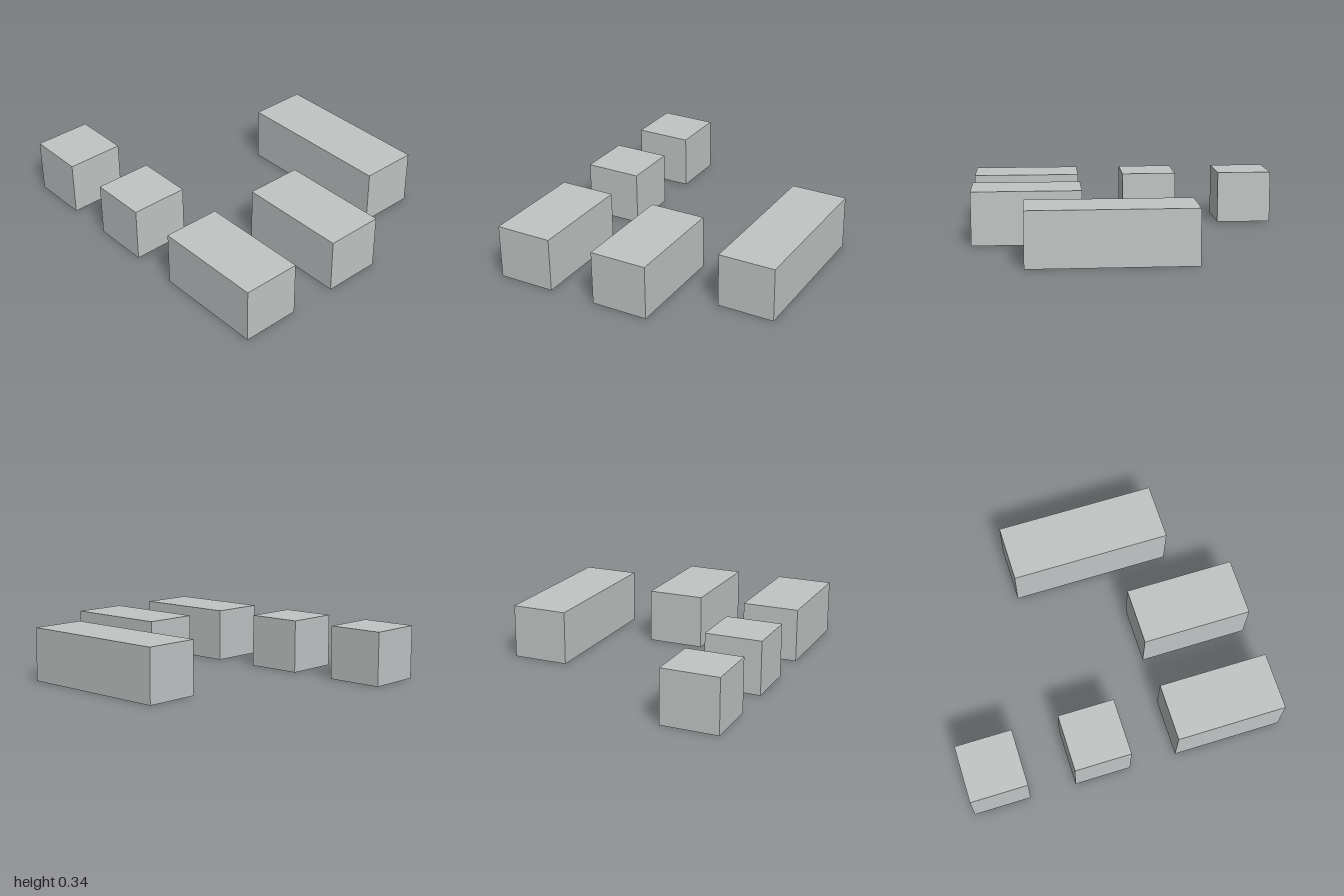
import * as THREE from 'three';

const HEIGHT = 0.34;
const DEPTH = 0.36;

export function createModel() {
  const group = new THREE.Group();
  group.name = 'blocks';
  const paleGrey = new THREE.MeshStandardMaterial({ color: 0xc0c5c4 });
  paleGrey.name = 'paleGrey';

  // A block standing on the ground between two x positions
  const addBlock = (name, x0, x1, z) => {
    const block = new THREE.Mesh(new THREE.BoxGeometry(x1 - x0, HEIGHT, DEPTH), paleGrey);
    block.name = name;
    block.position.set((x0 + x1) / 2, HEIGHT / 2, z);
    group.add(block);
  };

  // Front row: two cubes and a double block
  addBlock('frontRightCube', -1, -0.64, 0.655);
  addBlock('frontMiddleCube', -0.347, 0.011, 0.655);
  addBlock('frontLeftBlock', 0.31, 1, 0.655);

  // Middle row: one double block
  addBlock('middleBlock', 0.31, 1, -0.002);

  // Back row: one triple block
  addBlock('backLongBlock', -0.347, 0.67, -0.657);

  return group;
}
